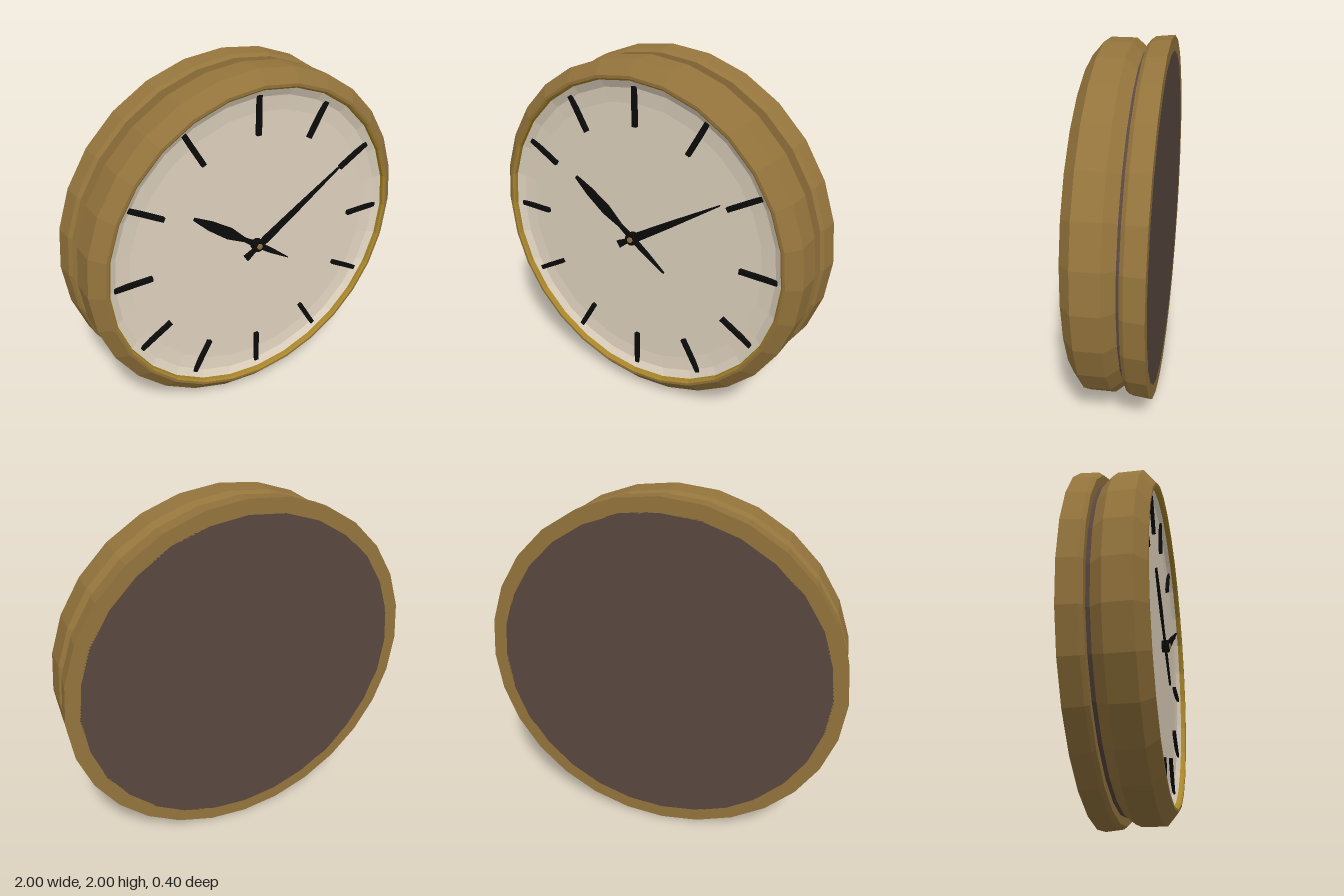
import * as THREE from 'three';

const SEGMENTS = 28;

const makeMaterial = (name, color, flat = true) => {
  const m = new THREE.MeshStandardMaterial({ color, flatShading: flat });
  m.name = name;
  return m;
};

export function createModel() {
  const brass = makeMaterial('brass', 0x94743c);
  const brightBrass = makeMaterial('bright brass', 0xa8862a);
  const cream = makeMaterial('cream', 0xe0d3bf);
  const brown = makeMaterial('dark brown', 0x594740);
  const black = makeMaterial('black', 0x0b0b0b);

  const clock = new THREE.Group();
  clock.name = 'wallClock';
  clock.position.y = 1;

  const add = (parent, name, geometry, material) => {
    const mesh = new THREE.Mesh(geometry, material);
    mesh.name = name;
    parent.add(mesh);
    return mesh;
  };

  // Turned part: profile of [radius, z], spun around the z axis
  const turned = (name, profile, material) => {
    const points = profile.map(([r, z]) => new THREE.Vector2(r, z));
    return add(clock, name, new THREE.LatheGeometry(points, SEGMENTS).rotateX(Math.PI / 2), material);
  };

  // Case: bevelled front ring, back ring and the core between them
  turned('frontRing', [
    [0.87, -0.06], [0.93, -0.06], [0.98, 0], [0.98, 0.14],
    [0.91, 0.2], [0.895, 0.2],
  ], brass);
  turned('innerTrim', [[0.895, 0.2], [0.885, 0.19], [0.88, 0.13]], brightBrass);
  turned('backRing', [
    [0.92, -0.2], [1, -0.2], [0.99, -0.1], [0.975, -0.08], [0.88, -0.08],
  ], brass);
  turned('backPanel', [[0, -0.2], [0.925, -0.2]], brown);
  turned('core', [[0.93, -0.1], [0.93, -0.04]], brown);

  // Dial with a gently raised edge
  turned('dial', [[0.884, 0.17], [0.84, 0.148], [0.76, 0.14], [0, 0.14]], cream);

  // Twelve hour markers
  const markers = new THREE.Group();
  markers.name = 'hourMarkers';
  clock.add(markers);
  for (let i = 0; i < 12; i++) {
    const geometry = new THREE.BoxGeometry(0.026, 0.21, 0.02);
    geometry.translate(0, 0.745, 0.152).rotateZ((-i * Math.PI) / 6);
    add(markers, 'hourMarker', geometry, black);
  }

  // Hand: half outline of [distance, half width], mirrored and aimed at a point
  const hand = (name, outline, aimX, aimY, z) => {
    const right = outline.map(([d, w]) => new THREE.Vector2(w, d));
    const left = outline.map(([d, w]) => new THREE.Vector2(-w, d)).reverse();
    const geometry = new THREE.ExtrudeGeometry(new THREE.Shape([...right, ...left]), {
      depth: 0.012, bevelEnabled: false,
    });
    const mesh = add(clock, name, geometry, black);
    mesh.position.set(-0.012, 0.002, z);
    mesh.rotation.z = Math.atan2(-aimX, aimY);
  };
  hand('hourHand', [
    [-0.26, 0.002], [-0.12, 0.014], [0, 0.018], [0.1, 0.012],
    [0.22, 0.032], [0.36, 0.026], [0.475, 0.008],
  ], -0.385, 0.28, 0.165);
  hand('minuteHand', [
    [-0.1, 0.022], [-0.04, 0.014], [0, 0.02], [0.06, 0.024],
    [0.3, 0.017], [0.64, 0.003],
  ], 0.54, 0.345, 0.178);

  // Hub at the centre of the hands
  const hub = new THREE.CylinderGeometry(0.035, 0.035, 0.04, 10).rotateX(Math.PI / 2);
  add(clock, 'hub', hub, black).position.set(-0.012, 0.002, 0.172);
  const pin = new THREE.CylinderGeometry(0.016, 0.018, 0.02, 8).rotateX(Math.PI / 2);
  add(clock, 'hubPin', pin, brass).position.set(-0.012, 0.002, 0.19);

  const model = new THREE.Group();
  model.name = 'clockModel';
  model.add(clock);
  return model;
}
